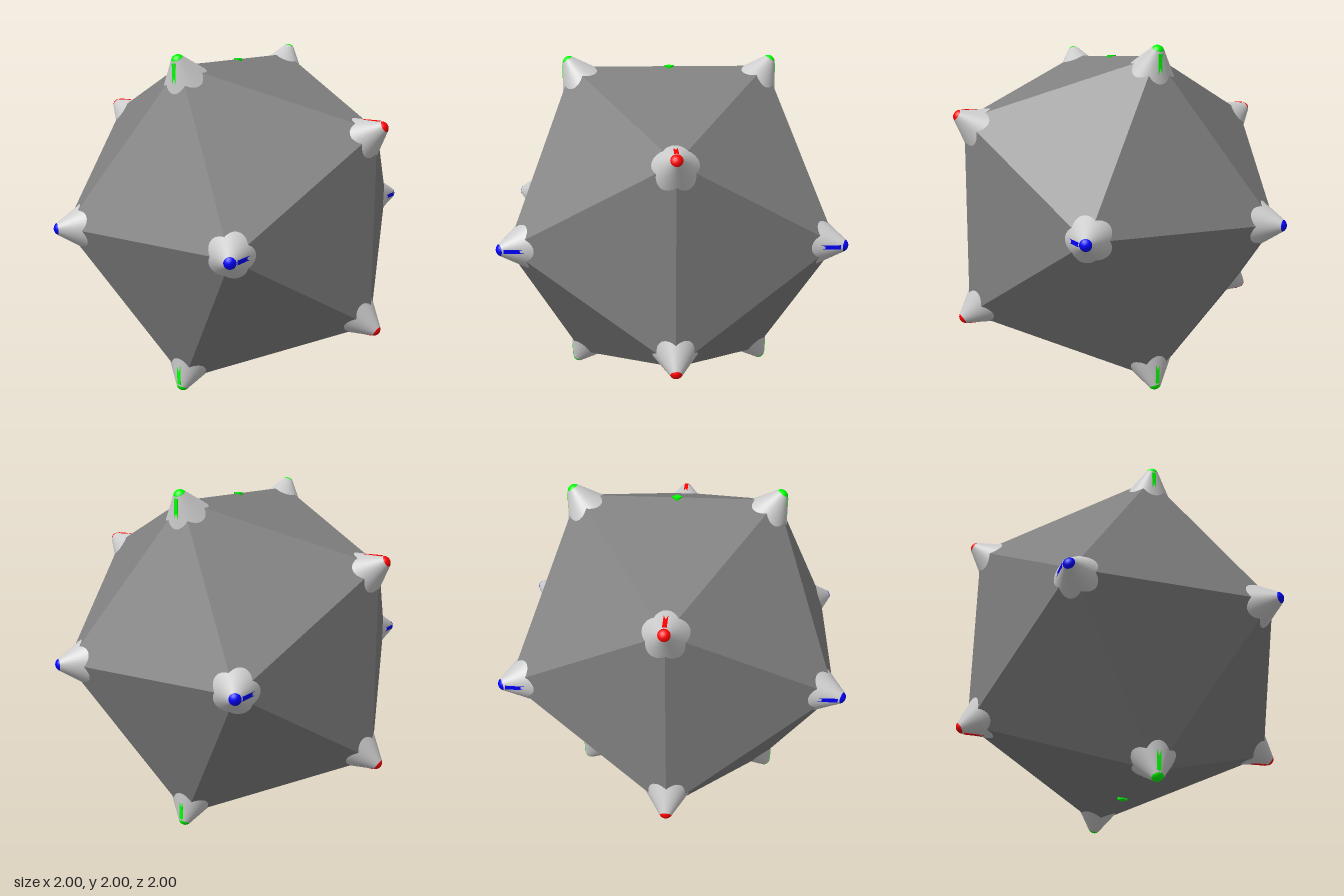
import * as THREE from 'three';

const BODY_RADIUS = 1.10;
const BALL_DIST = 1.128;
const BALL_RADIUS = 0.04;
const HALF_ANGLE = THREE.MathUtils.degToRad(33);

const material = (color) => new THREE.MeshStandardMaterial({ color });

function add(parent, name, geometry, mat) {
  const mesh = new THREE.Mesh(geometry, mat);
  mesh.name = name;
  parent.add(mesh);
  return mesh;
}

export function createModel() {
  const model = new THREE.Group();
  model.name = 'icosahedron';
  const solid = new THREE.Group();
  solid.name = 'solid';
  solid.position.y = 1;
  model.add(solid);

  const bodyMat = material(0x808080);
  bodyMat.flatShading = true;
  const coneMat = material(0xcccccc);
  const red = material(0xff0000), green = material(0x00ff00), blue = material(0x0000ff);

  // Twenty-sided body
  add(solid, 'body', new THREE.IcosahedronGeometry(BODY_RADIUS, 0).rotateY(Math.PI / 2), bodyMat);

  // Corner cap: flared cone tangent to a small ball, axis along +y from the ball centre
  const topY = BALL_RADIUS * Math.sin(HALF_ANGLE);
  const topR = BALL_RADIUS * Math.cos(HALF_ANGLE);
  const depth = 0.2;
  const baseR = topR + (topY + depth) * Math.tan(HALF_ANGLE);
  const coneGeo = new THREE.CylinderGeometry(topR, baseR, topY + depth, 40, 1, true)
    .translate(0, (topY - depth) / 2, 0);
  const ballGeo = new THREE.SphereGeometry(BALL_RADIUS, 24, 16);

  // Each golden rectangle: long axis, short axis and colour
  const X = new THREE.Vector3(1, 0, 0), Y = new THREE.Vector3(0, 1, 0), Z = new THREE.Vector3(0, 0, 1);
  const rectangles = [
    { name: 'green', long: Y, short: Z, mat: green },
    { name: 'red', long: X, short: Y, mat: red },
    { name: 'blue', long: Z, short: X, mat: blue },
  ];
  const phi = (1 + Math.sqrt(5)) / 2;
  const shortPos = BALL_DIST / Math.hypot(1, phi);

  for (const { name, long, short, mat } of rectangles) {
    const normal = new THREE.Vector3().crossVectors(long, short);
    for (const s of [-1, 1]) {
      for (const l of [-1, 1]) {
        const dir = new THREE.Vector3().addScaledVector(long, l * phi).addScaledVector(short, s).normalize();
        const corner = new THREE.Group();
        corner.name = name + 'Corner';
        corner.position.copy(dir).multiplyScalar(BALL_DIST);
        corner.quaternion.setFromUnitVectors(Y, dir);
        add(corner, 'cornerCone', coneGeo, coneMat);
        add(corner, 'cornerBall', ballGeo, mat);
        solid.add(corner);
      }
      // Long side rod joining two corners, just breaking through the cones
      const rod = add(solid, name + 'Rod', new THREE.BoxGeometry(1.9, 0.084, 0.024), mat);
      rod.quaternion.setFromRotationMatrix(new THREE.Matrix4().makeBasis(long, short, normal));
      rod.position.copy(short).multiplyScalar(s * shortPos);
    }
  }

  // Four-sided upright axis ending at the top and bottom edges
  add(solid, 'centreAxis', new THREE.CylinderGeometry(0.03, 0.03, 1.882, 4).toNonIndexed(), green);

  return model;
}
